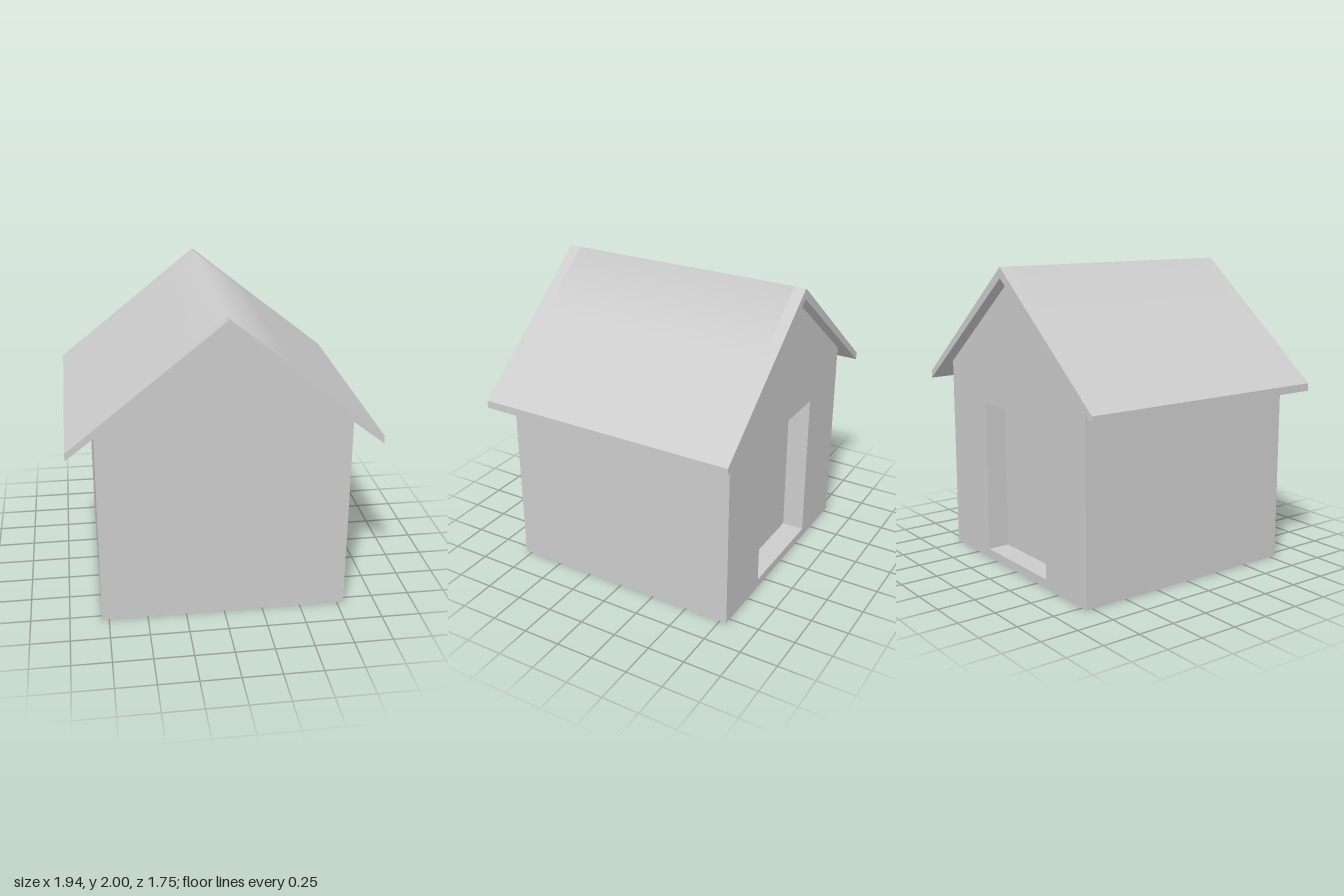
import * as THREE from 'three';
import { mergeGeometries } from 'three/addons/utils/BufferGeometryUtils.js';

const material = new THREE.MeshStandardMaterial({ color: 0xcccccc });
const toShape = (points) => new THREE.Shape(points.map(([x, y]) => new THREE.Vector2(x, y)));

// Flat walls along a closed outline; counter-clockwise faces out, clockwise faces in
function walls(points, z0, z1) {
  const positions = [];
  points.forEach(([ax, ay], i) => {
    const [bx, by] = points[(i + 1) % points.length];
    positions.push(ax, ay, z0, bx, by, z0, bx, by, z1, ax, ay, z0, bx, by, z1, ax, ay, z1);
  });
  const geometry = new THREE.BufferGeometry();
  geometry.setAttribute('position', new THREE.Float32BufferAttribute(positions, 3));
  geometry.computeVertexNormals();
  return geometry;
}

// Flat end face; back ones are turned to face -z (the outlines are symmetric in x)
function face(shape, z, back) {
  const geometry = new THREE.ShapeGeometry(shape).toNonIndexed();
  geometry.deleteAttribute('uv');
  if (back) geometry.rotateY(Math.PI);
  return geometry.translate(0, 0, z);
}

function addMesh(group, name, geometry) {
  const mesh = new THREE.Mesh(geometry, material);
  mesh.name = name;
  group.add(mesh);
}

export function createModel() {
  const house = new THREE.Group();
  house.name = 'house';

  const half = 0.795, recess = 0.15;
  const gable = [[-half, 0], [half, 0], [half, 1.31], [0, 1.93], [-half, 1.31]];
  const door = [[-0.355, 0.06], [-0.355, 1.08], [0.355, 1.08], [0.355, 0.06]];

  // Body: gabled walls with a doorway opening in the back
  const backShape = toShape(gable);
  backShape.holes.push(toShape(door));
  addMesh(house, 'body', mergeGeometries([
    walls(gable, -half, half),
    face(toShape(gable), half, false),
    face(backShape, -half, true),
  ]));

  // Door: recess sides and the panel set into them
  addMesh(house, 'doorFrame', walls(door, -half, -half + recess));
  addMesh(house, 'doorPanel', face(toShape(door), -half + recess, true));

  // Roof: thin chevron with overhangs on all sides
  const eave = 0.97, bend = 0.39, end = 0.873;
  const slope = (2 - 1.225) / eave;
  const roofShape = toShape([
    [-eave, 1.175], [0, 1.93], [eave, 1.175], [eave, 1.225],
    [bend, 2 - slope * bend], [0, 2], [-bend, 2 - slope * bend], [-eave, 1.225],
  ]);
  const roof = new THREE.ExtrudeGeometry(roofShape, { depth: 2 * end, steps: 3, bevelEnabled: false });
  roof.translate(0, 0, -end);

  // The middle section matches the body length
  const pos = roof.attributes.position, normal = roof.attributes.normal;
  for (let i = 0; i < pos.count; i++) {
    const z = pos.getZ(i);
    if (Math.abs(z) < end - 0.01) pos.setZ(i, Math.sign(z) * half);
  }
  // Soften the ridge of the middle section only, leaving the overhangs crisp
  for (let t = 0; t < pos.count; t += 3) {
    const middle = Math.abs(pos.getZ(t) + pos.getZ(t + 1) + pos.getZ(t + 2)) / 3 < half - 0.01;
    for (let i = t; i < t + 3; i++) {
      if (middle && pos.getY(i) > 1.99 && normal.getY(i) > 0.5) normal.setXYZ(i, 0, 1, 0);
    }
  }
  addMesh(house, 'roof', roof);

  return house;
}
